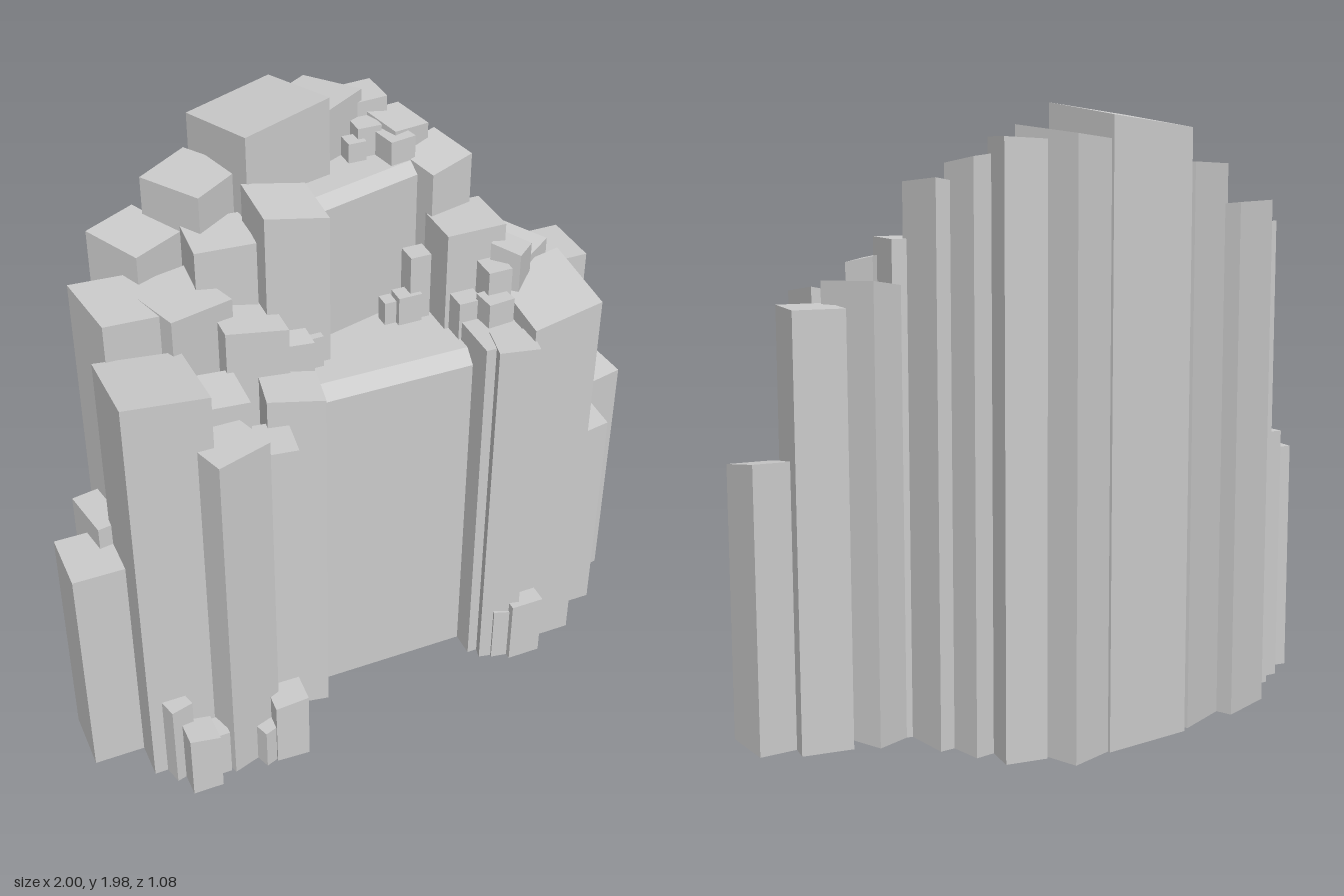
import * as THREE from 'three';

const rock = new THREE.MeshStandardMaterial({ color: 0xcccccc, flatShading: true });

// Square rock pillar standing on the ground, with a tilted top (slopes along x and z)
function pillar(name, [x, z, w, d, deg, h, sx = 0, sz = 0]) {
  const geo = new THREE.BoxGeometry(w, 1, d);
  geo.rotateY(THREE.MathUtils.degToRad(deg));
  const p = geo.attributes.position;
  for (let i = 0; i < p.count; i++) {
    p.setY(i, p.getY(i) > 0 ? h + sx * p.getX(i) + sz * p.getZ(i) : 0);
  }
  geo.computeVertexNormals();
  const mesh = new THREE.Mesh(geo, rock);
  mesh.name = name;
  mesh.position.set(x, 0, z);
  return mesh;
}

// Flat terrace block whose front lip is chamfered; origin at the middle of the front face
function terrace(name, width, depth, height, chamfer) {
  const s = new THREE.Shape();
  s.moveTo(0, 0);
  s.lineTo(0, height - chamfer);
  s.lineTo(-chamfer, height);
  s.lineTo(-depth, height);
  s.lineTo(-depth, 0);
  const geo = new THREE.ExtrudeGeometry(s, { depth: width, bevelEnabled: false });
  geo.translate(0, 0, -width / 2);
  geo.rotateY(-Math.PI / 2);
  const mesh = new THREE.Mesh(geo, rock);
  mesh.name = name;
  return mesh;
}

// Rows: x, z, width, depth, turn in degrees, height, slope x, slope z
const columns = {
  peakColumn: [
    [-0.15, -0.29, 0.31, 0.31, 15, 1.94, 0.14, 0.1],
    [0.05, -0.38, 0.235, 0.24, 27, 1.885, 0.13, 0.06],
    [0.225, -0.385, 0.135, 0.135, 0, 1.87, 0.05, 0],
    [0.31, -0.28, 0.14, 0.14, 18, 1.815, -0.15, -0.1],
    [-0.39, -0.23, 0.21, 0.22, 33, 1.795, 0.02, -0.03],
  ],
  upperColumn: [
    [0.385, -0.165, 0.155, 0.185, 14, 1.735, 0.15, -0.12],
    [-0.175, -0.01, 0.205, 0.19, 0, 1.765, -0.2, -0.1],
    [-0.37, -0.07, 0.19, 0.18, -4, 1.67, 0, -0.04],
    [-0.59, -0.185, 0.2, 0.2, 30, 1.665, -0.06, -0.08],
    [-0.715, 0.02, 0.2, 0.22, 10, 1.575, -0.17, -0.08],
    [-0.53, 0.02, 0.23, 0.22, 21, 1.55, -0.12, -0.04],
    [0.425, -0.02, 0.2, 0.19, 0, 1.57],
  ],
  leftColumn: [
    [-0.702, 0.275, 0.265, 0.27, 0, 1.455, -0.11, 0.06],
    [-0.34, 0.075, 0.2, 0.19, 0, 1.46, -0.18, -0.05],
    [-0.495, 0.235, 0.15, 0.16, 0, 1.335, -0.08, -0.08],
    [-0.53, 0.39, 0.185, 0.185, 18, 1.27],
    [-0.365, 0.345, 0.12, 0.15, -8, 1.195],
    [-0.262, 0.235, 0.18, 0.15, -10, 1.28, -0.12, -0.05],
    [-0.917, 0.187, 0.166, 0.206, 0, 0.8],
    [-0.81, 0.07, 0.17, 0.18, 10, 0.875],
  ],
  rightColumn: [
    [0.618, 0.195, 0.228, 0.29, 0, 1.38, 0.21, -0.12],
    [0.762, -0.05, 0.165, 0.2, 0, 1.37],
    [0.57, -0.03, 0.2, 0.22, 30, 1.43, 0.12, -0.12],
    [0.43, 0.235, 0.165, 0.17, 0, 1.295],
    [0.45, 0.31, 0.13, 0.12, -12, 1.3],
    [0.805, 0.14, 0.15, 0.185, 0, 0.79, 0.18, -0.06],
    [0.91, 0, 0.15, 0.195, 11, 0.895, 0, -0.15],
  ],
  ledgeStone: [
    [0.2, -0.28, 0.08, 0.08, 0, 1.82],
    [0.15, -0.25, 0.06, 0.06, 0, 1.785],
    [0.27, -0.21, 0.09, 0.1, 10, 1.8],
    [0.28, -0.05, 0.07, 0.07, 0, 1.46],
    [0.24, -0.03, 0.08, 0.06, 0, 1.33],
    [0.18, -0.045, 0.04, 0.05, 0, 1.31],
    [0.54, 0.09, 0.1, 0.1, 42, 1.505, -0.2, -0.1],
    [0.47, 0.11, 0.08, 0.1, 0, 1.46],
    [0.38, 0.1, 0.08, 0.09, 0, 1.36],
    [0.45, 0.17, 0.09, 0.08, 5, 1.38],
    [-0.2, 0.12, 0.09, 0.08, 0, 1.37, -0.1, -0.1],
    [-0.13, 0.08, 0.05, 0.06, 0, 1.34],
  ],
  baseStone: [
    [-0.695, 0.488, 0.1, 0.1, 0, 0.23, -0.2, 0],
    [-0.75, 0.42, 0.075, 0.08, 15, 0.315],
    [-0.625, 0.455, 0.05, 0.08, 0, 0.18],
    [-0.39, 0.465, 0.11, 0.11, -3, 0.25, 0.14, 0],
    [-0.47, 0.48, 0.06, 0.07, 20, 0.15],
    [0.525, 0.35, 0.115, 0.105, 0, 0.24],
    [0.46, 0.335, 0.08, 0.09, -10, 0.205, -0.15, 0],
  ],
};

export function createModel() {
  const model = new THREE.Group();
  model.name = 'rockCliff';
  for (const [name, rows] of Object.entries(columns)) {
    const group = new THREE.Group();
    group.name = name + 's';
    rows.forEach((row, i) => group.add(pillar(name + (i + 1), row)));
    model.add(group);
  }

  // Stepped terraces between the columns
  const lower = terrace('lowerTerrace', 0.53, 0.42, 1.23, 0.042);
  lower.position.set(0.09, 0, 0.236);
  const upper = terrace('upperTerrace', 0.44, 0.22, 1.72, 0.035);
  upper.position.set(0.11, 0, -0.075);
  upper.rotation.y = THREE.MathUtils.degToRad(15);
  model.add(lower, upper);
  return model;
}
